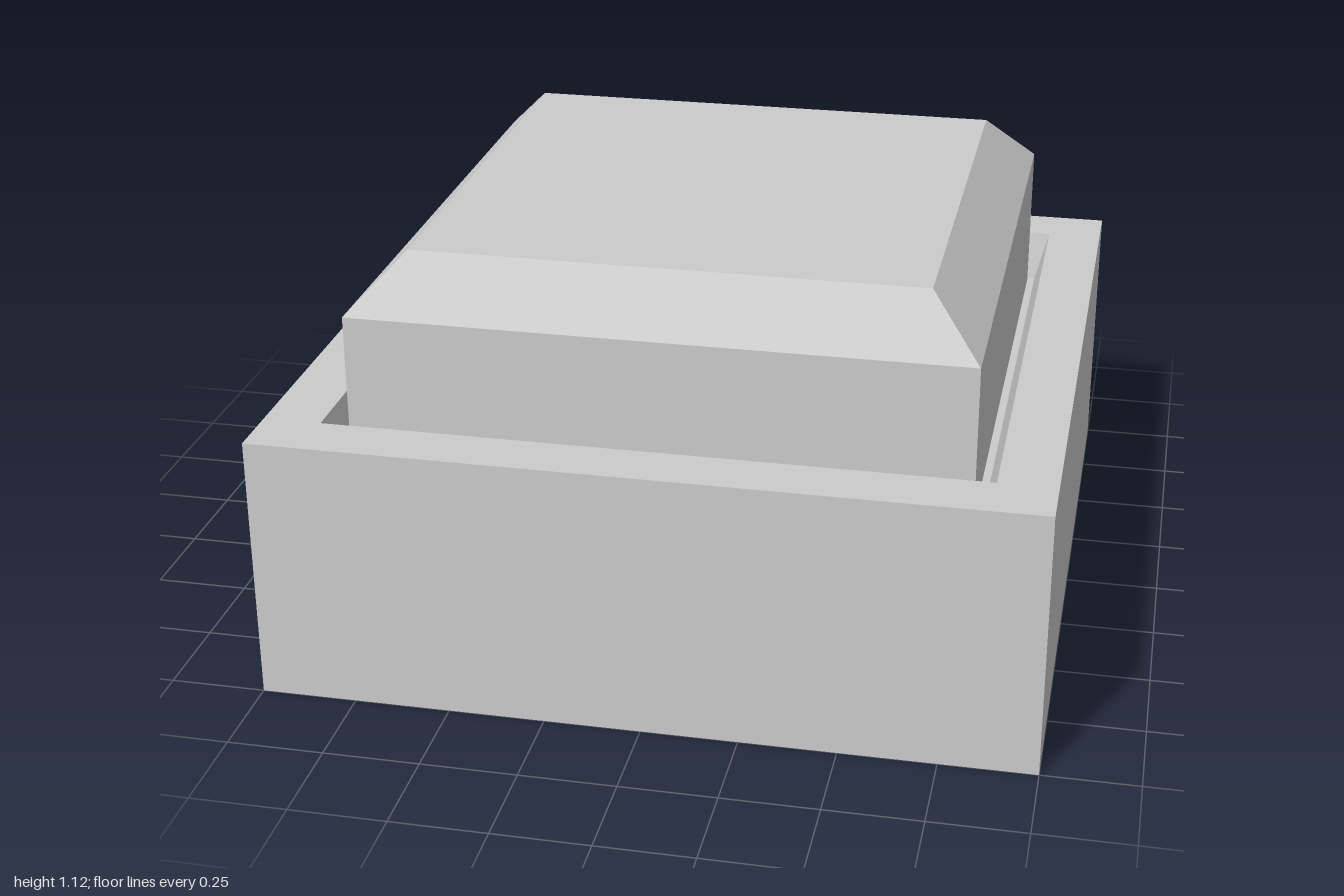
import * as THREE from 'three';

const material = new THREE.MeshStandardMaterial({ color: 0xcccccc, flatShading: true });

// Square solid from a profile of [half width, height] points, bottom to top
function squareLathe(name, profile) {
  const points = profile.map(([half, y]) => new THREE.Vector2(half * Math.SQRT2, y));
  const geometry = new THREE.LatheGeometry(points, 4, Math.PI / 4).toNonIndexed();
  geometry.computeVertexNormals();
  const mesh = new THREE.Mesh(geometry, material);
  mesh.name = name;
  return mesh;
}

export function createModel() {
  const group = new THREE.Group();
  group.name = 'squareButton';
  const floorY = 0.58;

  // Housing with a tapered recess in its top
  group.add(squareLathe('housing', [
    [0, 0], [1, 0], [1, 0.71], [0.85, 0.71], [0.815, floorY], [0.795, floorY],
  ]));

  // Chamfered button cap rising from the recess
  group.add(squareLathe('buttonCap', [
    [0.795, floorY], [0.795, 0.98], [0.66, 1.12], [0, 1.12],
  ]));

  return group;
}
